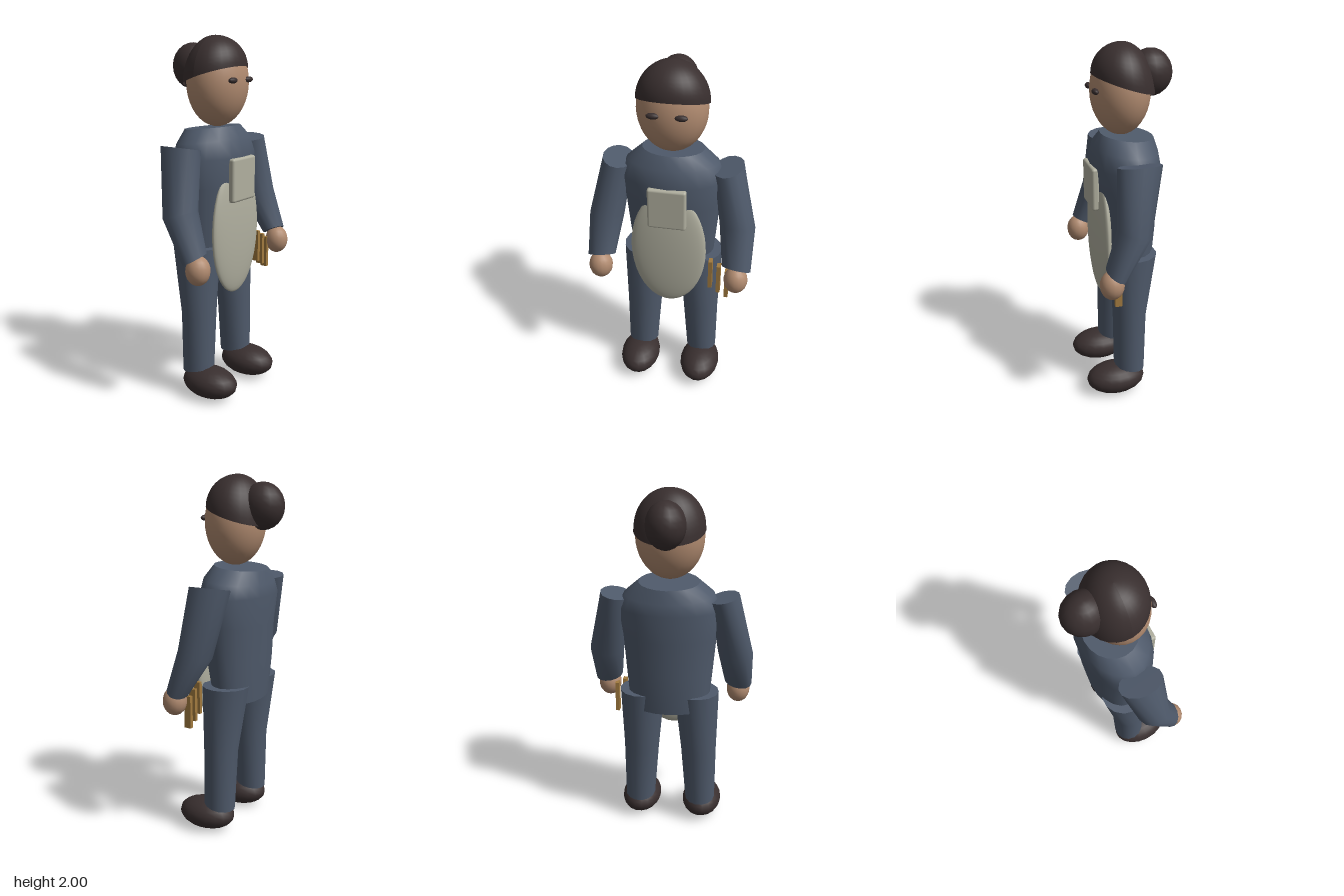
import * as THREE from 'three';
import { RoundedBoxGeometry } from 'three/addons/geometries/RoundedBoxGeometry.js';

const material = (name, color, side = THREE.FrontSide) => {
  const m = new THREE.MeshStandardMaterial({ color, side });
  m.name = name;
  return m;
};

// Closed loft through oval rings, listed from top to bottom.
// Each ring: [x, y, z, radiusX, radiusZ, slopeX, slopeZ]; slopes tilt the ring.
function loft(rings, sides) {
  const pos = [], index = [];
  const addRing = ([x, y, z, rx, rz, sx = 0, sz = 0]) => {
    const start = pos.length / 3;
    for (let j = 0; j < sides; j++) {
      const a = (j / sides) * Math.PI * 2;
      const dx = Math.cos(a) * rx, dz = Math.sin(a) * rz;
      pos.push(x + dx, y + sx * dx + sz * dz, z + dz);
    }
    return start;
  };
  const starts = rings.map(addRing);
  for (let i = 0; i < rings.length - 1; i++) {
    for (let j = 0; j < sides; j++) {
      const k = (j + 1) % sides, t = starts[i], b = starts[i + 1];
      index.push(t + j, t + k, b + j, t + k, b + k, b + j);
    }
  }
  // End caps have their own vertices so their edges stay sharp
  [[rings[0], true], [rings[rings.length - 1], false]].forEach(([ring, top]) => {
    const s = addRing(ring), c = pos.length / 3;
    pos.push(ring[0], ring[1], ring[2]);
    for (let j = 0; j < sides; j++) {
      const k = (j + 1) % sides;
      index.push(c, s + (top ? k : j), s + (top ? j : k));
    }
  });
  const g = new THREE.BufferGeometry();
  g.setAttribute('position', new THREE.Float32BufferAttribute(pos, 3));
  g.setIndex(index);
  g.computeVertexNormals();
  return g;
}

// Hair cap: a dome whose lower edge sinks from the forehead to the nape
function hairGeometry() {
  const g = new THREE.SphereGeometry(1, 28, 12, 0, Math.PI * 2, 0, Math.PI / 2);
  const p = g.attributes.position;
  for (let i = 0; i < p.count; i++) {
    const x = p.getX(i), y = p.getY(i), z = p.getZ(i);
    const front = z / (Math.hypot(x, z) || 1);
    const edge = 1.785 + 0.055 * front;
    p.setXYZ(i, x * 0.193, edge + (2 - edge) * y, z * 0.167);
  }
  g.computeVertexNormals();
  return g;
}

export function createModel() {
  const model = new THREE.Group();
  model.name = 'figure';
  const cloth = material('blue grey cloth', 0x4f5a6b);
  const skin = material('skin', 0xb18b70);
  const dark = material('dark brown', 0x392f2f, THREE.DoubleSide);
  const canvas = material('pale canvas', 0xb0af9f);
  const wood = material('wood', 0xa17a3f);

  const add = (name, geometry, mat, x = 0, y = 0, z = 0) => {
    const mesh = new THREE.Mesh(geometry, mat);
    mesh.name = name;
    mesh.position.set(x, y, z);
    model.add(mesh);
    return mesh;
  };
  const ball = (name, mat, center, radii, w = 24, h = 16) =>
    add(name, new THREE.SphereGeometry(1, w, h).scale(...radii), mat, ...center);

  // Head, hair and bun
  ball('head', skin, [0, 1.752, 0.015], [0.187, 0.237, 0.16], 28, 20);
  add('hair', hairGeometry(), dark);
  ball('hairBun', dark, [0, 1.835, -0.152], [0.107, 0.126, 0.118], 16, 12);

  // Torso, leaning slightly so its front is higher
  add('torso', loft([
    [0, 1.51, -0.02, 0.168, 0.145, 0, 0.1],
    [0, 1.44, -0.01, 0.25, 0.175, 0, 0.1],
    [0, 1.36, -0.005, 0.285, 0.19],
    [0, 1.2, -0.005, 0.262, 0.173],
    [0, 1.0, -0.012, 0.245, 0.158],
    [0, 0.78, -0.022, 0.225, 0.126, 0, 0.1],
  ], 20), cloth);

  // Apron and its bib
  ball('apron', canvas, [0, 0.95, 0.138], [0.21, 0.365, 0.043], 32, 20);
  add('apronBib', new RoundedBoxGeometry(0.21, 0.24, 0.04, 2, 0.014), canvas, 0, 1.24, 0.18);

  // Paired parts
  for (const [side, s] of [['left', 1], ['right', -1]]) {
    ball(side + 'Eye', dark, [s * 0.072, 1.768, 0.167], [0.034, 0.016, 0.018], 12, 8);
    add(side + 'Arm', loft([
      [s * 0.3, 1.425, -0.003, 0.082, 0.12, s * 0.2, 0],
      [s * 0.367, 1.09, 0.045, 0.098, 0.09, 0, 0.3],
      [s * 0.383, 0.87, 0.15, 0.08, 0.052, s * -0.15, 0.5],
    ], 14), cloth);
    ball(side + 'Hand', skin, [s * 0.385, 0.812, 0.172], [0.067, 0.08, 0.066], 16, 12);
    add(side + 'Leg', loft([
      [s * 0.155, 0.868, -0.012, 0.128, 0.132],
      [s * 0.17, 0.48, 0.012, 0.103, 0.094],
      [s * 0.182, 0.152, 0.017, 0.089, 0.088, 0, 0.2],
    ], 14), cloth);
    ball(side + 'Shoe', dark, [s * 0.187, 0.088, 0.1], [0.117, 0.088, 0.17], 18, 12);
  }

  // Wooden sticks hanging at the left hip
  for (let i = 0; i < 3; i++) {
    add('stick' + (i + 1), new THREE.BoxGeometry(0.022, 0.182, 0.04), wood,
      0.237 + i * 0.047, 0.797 - i * 0.028, 0.122);
  }
  return model;
}
